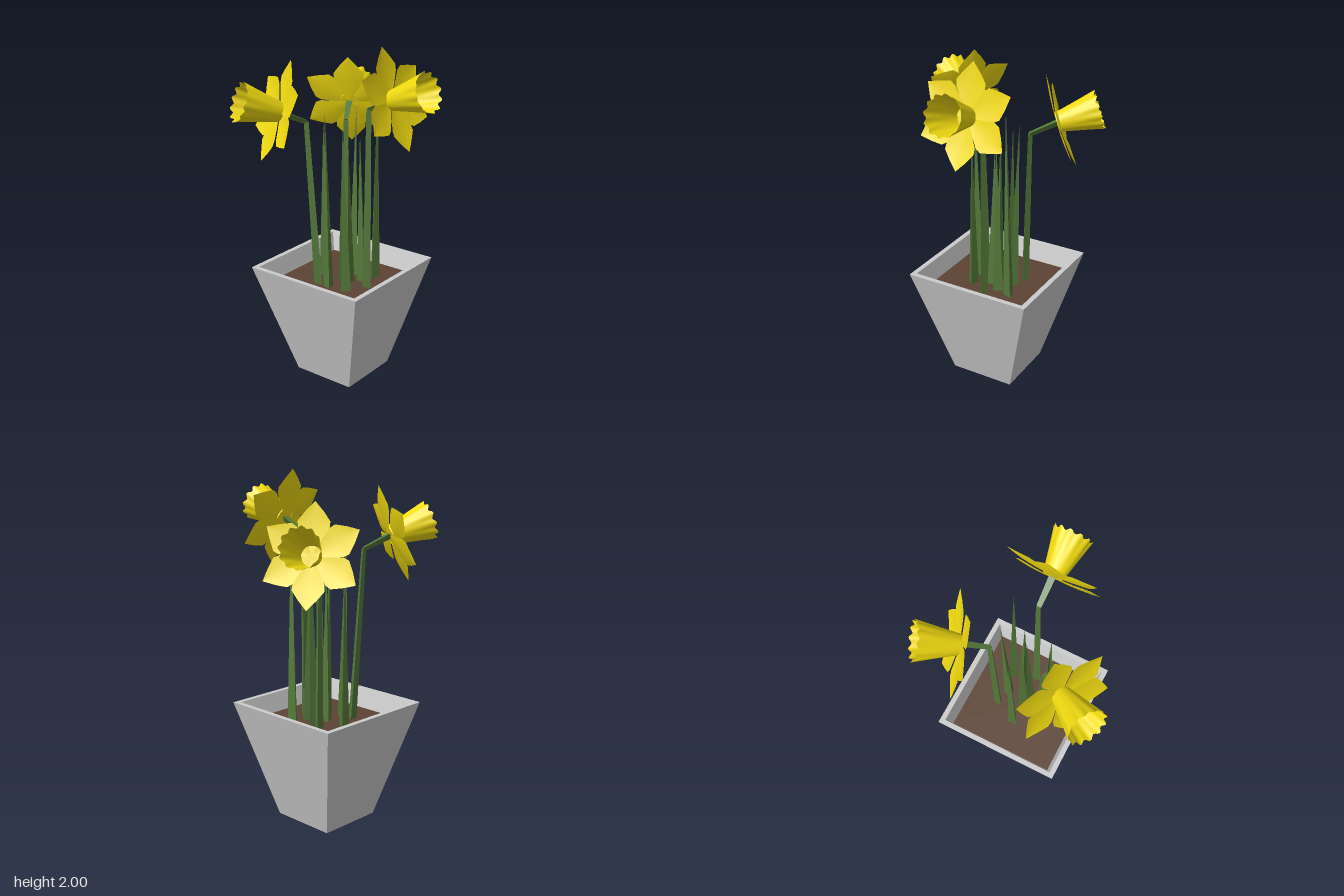
import * as THREE from 'three';

const mat = (color, extra = {}) => new THREE.MeshStandardMaterial({ color, ...extra });
const GREY = mat(0xcccccc, { flatShading: true });
const SOIL = mat(0x5c4435);
const GREEN = mat(0x55793a, { flatShading: true });
const YELLOW = mat(0xf0da10, { side: THREE.DoubleSide });
const CX = 0.022, CZ = -0.092, SOIL_Y = 0.58;

function add(parent, name, geometry, material) {
  const mesh = new THREE.Mesh(geometry, material);
  mesh.name = name;
  parent.add(mesh);
  return mesh;
}

// Tapered three-sided rod between two points
function rod(parent, name, from, to, r0, r1, spin = 0) {
  const dir = to.clone().sub(from);
  const geo = new THREE.CylinderGeometry(r1, r0, dir.length(), 3);
  geo.rotateY(spin);
  const mesh = add(parent, name, geo, GREEN);
  mesh.position.copy(from).add(to).multiplyScalar(0.5);
  mesh.quaternion.setFromUnitVectors(new THREE.Vector3(0, 1, 0), dir.normalize());
  return mesh;
}

// Pointed petal along +y: a strip shaped by a width profile, cupped forward
function petalGeometry() {
  const profile = [[0.02, 0.015], [0.09, 0.055], [0.15, 0.086], [0.185, 0.088], [0.235, 0.05], [0.288, 0.001]];
  const geo = new THREE.PlaneGeometry(2, 1, 4, profile.length - 1);
  const p = geo.attributes.position;
  for (let i = 0; i < p.count; i++) {
    const [r, w] = profile[Math.round((p.getY(i) + 0.5) * (profile.length - 1))];
    const s = p.getX(i);
    p.setXYZ(i, s * w, r, 0.025 * (r / 0.288) ** 2 + 0.008 * s * s * (w / 0.088));
  }
  geo.computeVertexNormals();
  return geo;
}

// Trumpet opening along +z with a scalloped rim
function trumpetGeometry() {
  const geo = new THREE.CylinderGeometry(0.108, 0.055, 0.24, 72, 4, true);
  geo.translate(0, 0.12, 0);
  const p = geo.attributes.position;
  for (let i = 0; i < p.count; i++) {
    const x = p.getX(i), y = p.getY(i), z = p.getZ(i);
    const t = y / 0.24, wave = Math.cos(12 * Math.atan2(x, z)) * t * t;
    const k = 1 + 0.05 * wave;
    p.setXYZ(i, x * k, y + 0.008 * wave, z * k);
  }
  geo.rotateX(Math.PI / 2);
  geo.computeVertexNormals();
  return geo;
}

function createFlower(petalGeo, trumpetGeo) {
  const flower = new THREE.Group();
  flower.name = 'flower';
  for (let i = 0; i < 6; i++) {
    const petal = add(flower, 'petal', petalGeo, YELLOW);
    petal.rotation.z = i * Math.PI / 3;
    petal.position.z = i % 2 ? 0.004 : -0.004;
  }
  add(flower, 'trumpet', trumpetGeo, YELLOW);
  add(flower, 'flowerCentre', new THREE.CircleGeometry(0.056, 24), YELLOW).position.z = 0.004;
  return flower;
}

export function createModel() {
  const model = new THREE.Group();
  model.name = 'pottedFlowers';

  // Square tapered pot with a thin rim
  const wall = [[0, 0], [0.195, 0], [0.38, 0.69], [0.35, 0.69], [0.318, 0.57]]
    .map(([r, y]) => new THREE.Vector2(r * Math.SQRT2, y));
  const potGeo = new THREE.LatheGeometry(wall, 4, Math.PI / 4).toNonIndexed();
  potGeo.computeVertexNormals();
  add(model, 'pot', potGeo, GREY).position.set(CX, 0, CZ);

  const soilGeo = new THREE.PlaneGeometry(0.642, 0.642);
  soilGeo.rotateX(-Math.PI / 2);
  add(model, 'soil', soilGeo, SOIL).position.set(CX, SOIL_Y, CZ);

  // Three nodding flowers on bent stems: head position, turn, stem foot
  const petalGeo = petalGeometry(), trumpetGeo = trumpetGeometry();
  const turn = 2 * Math.PI / 3;
  const flowers = [
    [[0.022, 1.722, 0.246], 0, [0.022, 0.085]],
    [[-0.29, 1.642, -0.278], -turn, [-0.11, -0.17]],
    [[0.30, 1.585, -0.253], turn, [0.16, -0.165]],
  ];
  for (const [head, yaw, foot] of flowers) {
    const top = new THREE.Vector3(...head);
    const flower = createFlower(petalGeo, trumpetGeo);
    flower.position.copy(top);
    flower.rotation.set(-0.32, yaw, 0, 'YXZ');
    model.add(flower);
    const bend = top.clone().add(new THREE.Vector3(-0.152 * Math.sin(yaw), -0.07, -0.152 * Math.cos(yaw)));
    rod(model, 'stem', new THREE.Vector3(foot[0], SOIL_Y - 0.01, foot[1]), bend, 0.027, 0.016, yaw);
    rod(model, 'flowerNeck', bend, top, 0.016, 0.022, yaw);
  }

  // Slender leaves: foot x, foot z, tip x, tip z, tip height
  const leaves = [
    [0.025, -0.23, 0.03, -0.235, 1.5],
    [-0.11, -0.095, -0.135, -0.09, 1.62],
    [0.025, -0.10, 0.03, -0.095, 1.5],
    [0.125, -0.085, 0.15, -0.09, 1.58],
    [0.016, -0.04, 0.02, -0.05, 1.45],
    [-0.09, 0.015, -0.10, 0.005, 1.51],
    [0.08, 0.01, 0.06, 0.005, 1.47],
    [0.165, 0.035, 0.15, 0.06, 1.70],
  ];
  leaves.forEach(([x, z, tx, tz, h], i) => {
    rod(model, 'leaf', new THREE.Vector3(x, SOIL_Y - 0.01, z), new THREE.Vector3(tx, h, tz), 0.034, 0.001, i * 1.3);
  });

  return model;
}
